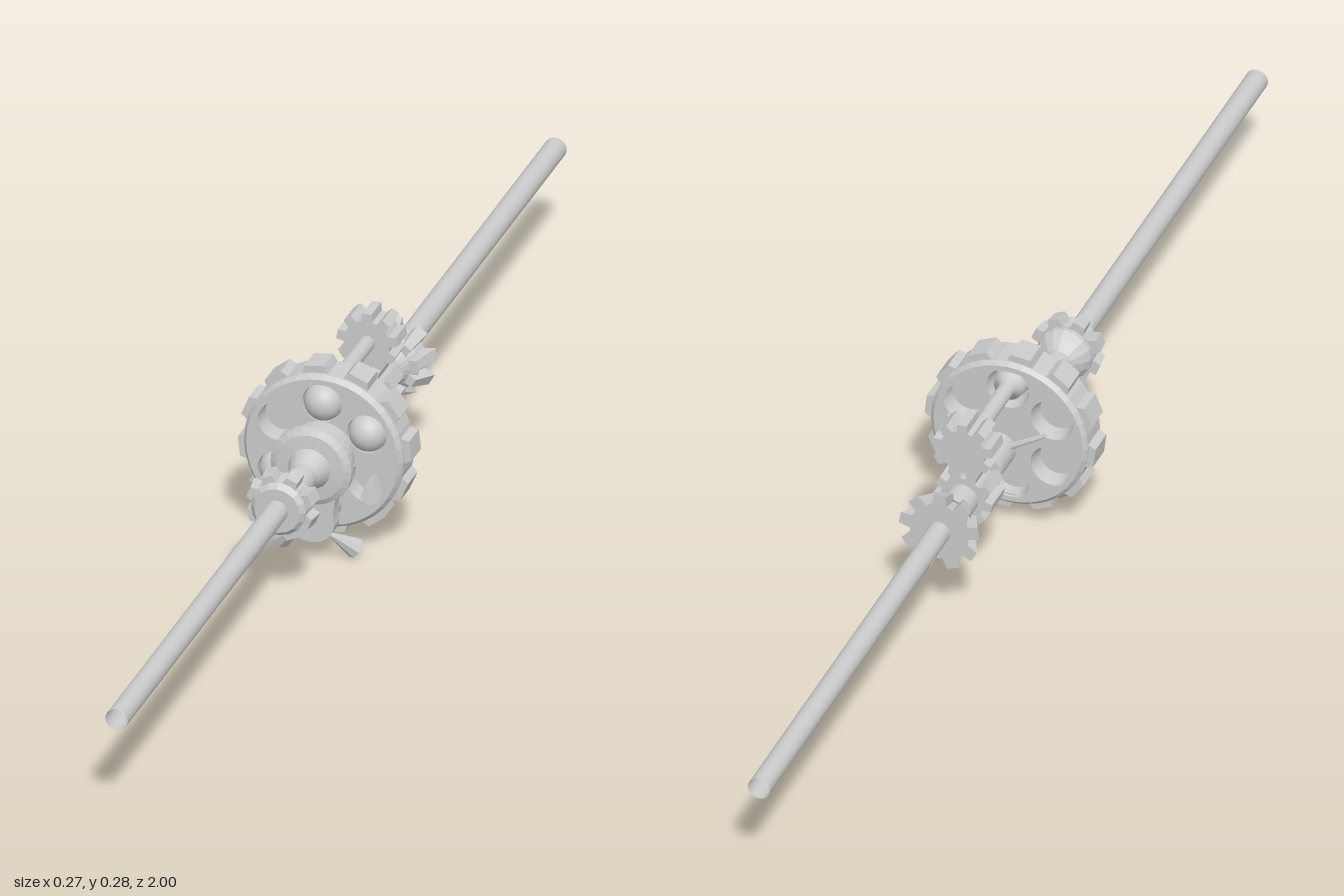
import * as THREE from 'three';

const AXIS_Y = 0.153;
const TAU = Math.PI * 2;
const smooth = new THREE.MeshStandardMaterial({ color: 0xcccccc, side: THREE.DoubleSide });
const flat = new THREE.MeshStandardMaterial({ color: 0xcccccc, side: THREE.DoubleSide, flatShading: true });

function add(parent, name, geometry, material = flat) {
  const mesh = new THREE.Mesh(geometry, material);
  mesh.name = name;
  parent.add(mesh);
  return mesh;
}

// Turned part along z; each profile point is [radius, z]
function turned(parent, name, profile, material = flat, sides = 24) {
  const points = profile.map(([r, z]) => new THREE.Vector2(r, z));
  return add(parent, name, new THREE.LatheGeometry(points, sides).rotateX(Math.PI / 2), material);
}

// Outline with trapezoid teeth
function gearShape(teeth, root, tip, offset = 0) {
  const shape = new THREE.Shape();
  const step = TAU / teeth;
  for (let i = 0; i < teeth; i++) {
    const a = offset + i * step;
    [[-0.5, root], [-0.34, root], [-0.22, tip], [0.22, tip], [0.34, root]].forEach(([t, r], k) => {
      const x = Math.cos(a + t * step) * r, y = Math.sin(a + t * step) * r;
      if (i + k === 0) shape.moveTo(x, y);
      else shape.lineTo(x, y);
    });
  }
  shape.closePath();
  return shape;
}

function circleHole(shape, x, y, r) {
  shape.holes.push(new THREE.Path().absarc(x, y, r, 0, TAU, true));
}

// Extrusion from z0 to z1, scaled from s0 to s1 for bevelled gears
function slab(parent, name, shape, z0, z1, s0 = 1, s1 = 1) {
  const geometry = new THREE.ExtrudeGeometry(shape, { depth: z1 - z0, bevelEnabled: false, curveSegments: 20 });
  const p = geometry.attributes.position;
  for (let i = 0; i < p.count; i++) {
    const s = THREE.MathUtils.lerp(s0, s1, p.getZ(i) / (z1 - z0));
    p.setXYZ(i, p.getX(i) * s, p.getY(i) * s, p.getZ(i) + z0);
  }
  geometry.computeVertexNormals();
  return add(parent, name, geometry);
}

// Round bar or cone between two points
function bar(parent, name, from, to, r0, r1, sides = 8) {
  const a = new THREE.Vector3(...from), b = new THREE.Vector3(...to);
  const mesh = add(parent, name, new THREE.CylinderGeometry(r1, r0, a.distanceTo(b), sides));
  mesh.position.copy(a).lerp(b, 0.5);
  mesh.quaternion.setFromUnitVectors(new THREE.Vector3(0, 1, 0), b.sub(a).normalize());
  return mesh;
}

export function createModel() {
  const model = new THREE.Group();
  const axle = new THREE.Group();
  axle.name = 'axleAssembly';
  axle.position.y = AXIS_Y;
  model.add(axle);

  // Long hollow shafts
  turned(axle, 'frontShaft', [[0.017, 0.06], [0.017, 1]], smooth);
  turned(axle, 'rearShaft', [[0.017, -1], [0.017, -0.2]], smooth);

  // Main wheel: toothed rim, pierced plates and a floor between them
  const wheel = new THREE.Group();
  wheel.name = 'mainWheel';
  axle.add(wheel);
  const rim = gearShape(12, 0.119, 0.133, THREE.MathUtils.degToRad(7));
  circleHole(rim, 0, 0, 0.108);
  slab(wheel, 'toothedRim', rim, 0.008, 0.052);
  turned(wheel, 'rimBand', [[0.108, 0], [0.116, 0], [0.122, 0.006], [0.122, 0.056], [0.116, 0.064], [0.108, 0.064]], flat, 36);
  const pockets = [30, 90, 150, 210, 270, 330].map((d) => {
    const a = THREE.MathUtils.degToRad(d);
    return [Math.cos(a) * 0.079, Math.sin(a) * 0.079];
  });
  for (const [name, z, r] of [['frontPlate', 0.056, 0.03], ['rearPlate', 0, 0.033]]) {
    const plate = new THREE.Shape().absarc(0, 0, 0.116, 0, TAU, false);
    pockets.forEach(([x, y]) => circleHole(plate, x, y, r));
    slab(wheel, name, plate, z, z + 0.008);
  }
  slab(wheel, 'wheelFloor', new THREE.Shape().absarc(0, 0, 0.112, 0, TAU, false), 0.026, 0.032);

  // Balls, pocket liners and a pointed stub in the wheel pockets
  pockets.forEach(([x, y], i) => {
    const liner = turned(wheel, 'pocketLiner', [[0.033, 0.002], [0.028, 0.027], [0.03, 0.062]], smooth);
    liner.position.set(x, y, 0);
    if (i === 2 || i === 5) return;
    const ball = add(wheel, 'pocketBall', new THREE.SphereGeometry(0.029, 24, 16), smooth);
    ball.position.set(x, y, 0.055);
  });
  bar(wheel, 'pocketStub', [0.07, -0.045, 0.035], [0.087, -0.04, 0.1], 0.006, 0.016, 6);

  // Hub with the tongue hanging from it
  turned(axle, 'hub', [[0.05, 0.06], [0.05, 0.1], [0.062, 0.103], [0.062, 0.114], [0.052, 0.12],
    [0.032, 0.122], [0.025, 0.14], [0.021, 0.15], [0.021, 0.205]], flat, 28);
  const tongue = new THREE.Shape();
  tongue.moveTo(-0.045, -0.03);
  tongue.quadraticCurveTo(-0.03, -0.06, -0.036, -0.09);
  tongue.quadraticCurveTo(-0.03, -0.12, 0, -0.121);
  tongue.quadraticCurveTo(0.03, -0.12, 0.036, -0.09);
  tongue.quadraticCurveTo(0.03, -0.06, 0.045, -0.03);
  slab(axle, 'tongue', tongue, 0.09, 0.115);

  // Flared horns under the tongue
  for (const side of [-1, 1]) {
    bar(axle, 'horn', [side * 0.024, -0.108, 0.105], [side * 0.056, -0.139, 0.078], 0.003, 0.016);
  }

  // Front collar with notched crown gear and slanted lug
  turned(axle, 'frontCollar', [[0.021, 0.2], [0.036, 0.215], [0.042, 0.225], [0.042, 0.262],
    [0.035, 0.27], [0.017, 0.27]], flat, 16);
  slab(axle, 'frontCrownGear', gearShape(8, 0.043, 0.055, Math.PI / 8), 0.232, 0.26, 1, 0.94);
  bar(axle, 'frontLug', [0, -0.015, 0.208], [0, -0.058, 0.172], 0.006, 0.008);

  // Layshaft and its pinion above the axle
  turned(axle, 'layshaft', [[0.026, 0.026], [0.022, 0], [0.012, -0.008], [0.012, -0.14]], smooth).position.y = 0.082;
  slab(axle, 'layshaftPinion', gearShape(9, 0.035, 0.047, Math.PI / 2), -0.185, -0.14).position.y = 0.082;

  // Rear sleeve with three-arm spider, then spur and bevel gears
  turned(axle, 'rearSleeve', [[0, -0.035], [0.027, -0.038], [0.027, -0.092], [0.015, -0.096], [0.015, -0.13]]);
  turned(axle, 'sleeveFlange', [[0.015, -0.1], [0.03, -0.1], [0.03, -0.106], [0.015, -0.106]]);
  for (const degrees of [30, 150, 270]) {
    const a = THREE.MathUtils.degToRad(degrees);
    bar(axle, 'spiderArm', [0, 0, -0.047], [Math.cos(a) * 0.088, Math.sin(a) * 0.088, -0.047], 0.006, 0.004);
  }
  slab(axle, 'rearSpurGear', gearShape(9, 0.034, 0.046, Math.PI / 2 + Math.PI / 9), -0.182, -0.132);
  turned(axle, 'rearNeck', [[0.024, -0.18], [0.024, -0.225], [0.034, -0.24], [0.044, -0.25]]);
  slab(axle, 'rearBevelGear', gearShape(9, 0.046, 0.063, Math.PI / 2), -0.276, -0.238, 1, 0.72);

  return model;
}
